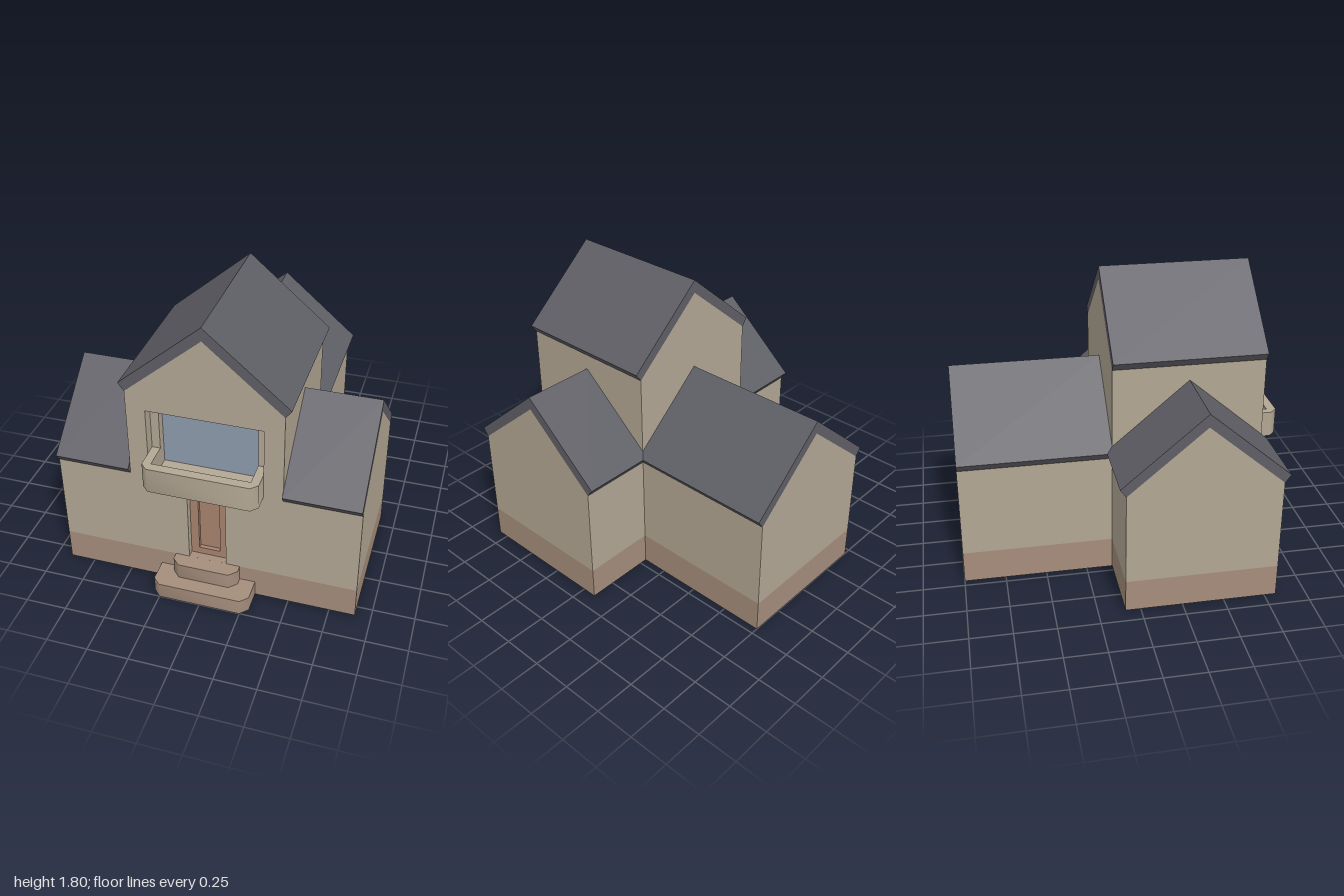
import * as THREE from 'three';
import { toCreasedNormals } from 'three/addons/utils/BufferGeometryUtils.js';

const mat = (color) => new THREE.MeshStandardMaterial({ color });
const WALL = mat(0xb3a794), BASE = mat(0xa58d7c), ROOF = mat(0x5e5e65);
const GLASS = mat(0x8e9cae), DOOR = mat(0xa8836f);

const HALF = 0.455;   // half width of every gabled block
const BAND = 0.2;     // top of the plinth band
const FRONT = 0.82, BACK = -0.09;

const poly = (pts) => new THREE.Shape(pts.map(([x, y]) => new THREE.Vector2(x, y)));

const rectHole = (w, y0, y1) =>
  new THREE.Path([[-w, y0], [-w, y1], [w, y1], [w, y0]].map(([x, y]) => new THREE.Vector2(x, y)));

const extrude = (shape, depth) => new THREE.ExtrudeGeometry(shape, { depth, bevelEnabled: false });

function add(parent, name, geometry, material, x = 0, y = 0, z = 0) {
  const mesh = new THREE.Mesh(geometry, material);
  mesh.name = name;
  mesh.position.set(x, y, z);
  parent.add(mesh);
  return mesh;
}

function addBox(parent, name, material, w, y0, y1, z0, z1) {
  return add(parent, name, new THREE.BoxGeometry(w, y1 - y0, z1 - z0), material,
    0, (y0 + y1) / 2, (z0 + z1) / 2);
}

// Gable wall outline above the plinth
const gable = (eave) => poly([[-HALF, BAND], [HALF, BAND], [HALF, eave], [0, eave + 0.39], [-HALF, eave]]);

// Chevron roof slab whose underside rests on the gable
const chevron = (eave) => poly([
  [HALF, eave], [0.49, eave + 0.048], [0, eave + 0.47],
  [-0.49, eave + 0.048], [-HALF, eave], [0, eave + 0.39],
]);

// Gabled block running along local z
function block(name, eave, length) {
  const g = new THREE.Group();
  g.name = name;
  addBox(g, 'plinth', BASE, HALF * 2, 0, BAND, 0, length);
  add(g, 'walls', extrude(gable(eave), length), WALL);
  add(g, 'roof', extrude(chevron(eave), length), ROOF);
  return g;
}

// Slab lying flat, outline given as x and z, corners softened by normals
function slab(pts, height) {
  const g = extrude(poly(pts.map(([x, z]) => [x, -z]).reverse()), height);
  g.rotateX(-Math.PI / 2);
  return toCreasedNormals(g, 0.9);
}

const chamfered = (w, z0, z1, c) =>
  [[-w, z0], [w, z0], [w, z1 - c], [w - c, z1], [c - w, z1], [-w, z1 - c]].reverse();

export function createModel() {
  const house = new THREE.Group();
  house.name = 'house';

  // Side wings and rear wing
  for (const side of [1, -1]) {
    const wing = block(side > 0 ? 'leftWing' : 'rightWing', 0.765, 0.45);
    wing.rotation.y = Math.PI / 2;
    wing.position.set(side > 0 ? HALF : -HALF - 0.45, 0, 0.365);
    house.add(wing);
  }
  const rear = block('rearWing', 0.765, 0.91);
  rear.position.z = -1;
  house.add(rear);

  // Central tower: solid body with two facade layers holding the openings
  const tower = new THREE.Group();
  tower.name = 'tower';
  house.add(tower);
  const eave = 1.33;
  addBox(tower, 'plinth', BASE, HALF * 2, 0, BAND, BACK, FRONT);
  add(tower, 'body', extrude(gable(eave), 0.69 - BACK), WALL, 0, 0, BACK);
  add(tower, 'roof', extrude(chevron(eave), FRONT - BACK), ROOF, 0, 0, BACK);
  const facade = (name, w, y0, y1, z0, z1) => {
    const d = 0.115;
    const shape = poly([
      [-HALF, BAND], [-d, BAND], [-d, 0.655], [d, 0.655], [d, BAND],
      [HALF, BAND], [HALF, eave], [0, eave + 0.39], [-HALF, eave],
    ]);
    shape.holes.push(rectHole(w, y0, y1));
    add(tower, name, extrude(shape, z1 - z0), WALL, 0, 0, z0);
  };
  facade('outerFacade', 0.34, 0.78, 1.22, 0.75, FRONT);
  facade('windowSurround', 0.29, 0.8, 1.17, 0.69, 0.75);
  addBox(tower, 'windowGlass', GLASS, 0.58, 0.8, 1.17, 0.685, 0.695);

  // Door with a sunken panel
  const frame = poly([[-0.115, BAND], [0.115, BAND], [0.115, 0.655], [-0.115, 0.655]]);
  frame.holes.push(rectHole(0.065, 0.245, 0.605));
  add(house, 'doorFrame', extrude(frame, 0.03), DOOR, 0, 0, 0.745);
  addBox(house, 'doorPanel', DOOR, 0.14, 0.24, 0.61, 0.73, 0.75);

  // Balcony: floor and U-shaped parapet reaching into the window recess
  const c = 0.04;
  add(house, 'balconyFloor', slab(chamfered(0.335, 0.75, 0.95, c), 0.035), WALL, 0, 0.765, 0);
  const parapet = [
    [-0.34, 0.75], [-0.34, 0.955 - c], [-0.34 + c, 0.955], [0.34 - c, 0.955], [0.34, 0.955 - c],
    [0.34, 0.75], [0.29, 0.75], [0.29, 0.9], [-0.29, 0.9], [-0.29, 0.75],
  ];
  add(house, 'balconyParapet', slab(parapet, 0.16), WALL, 0, 0.765, 0);

  // Entrance steps
  add(house, 'lowerStep', slab(chamfered(0.295, 0.8, 1, 0.045), 0.1), BASE);
  add(house, 'upperStep', slab(chamfered(0.2, 0.8, 0.91, 0.045), 0.0999), BASE, 0, 0.1, 0);

  return house;
}
